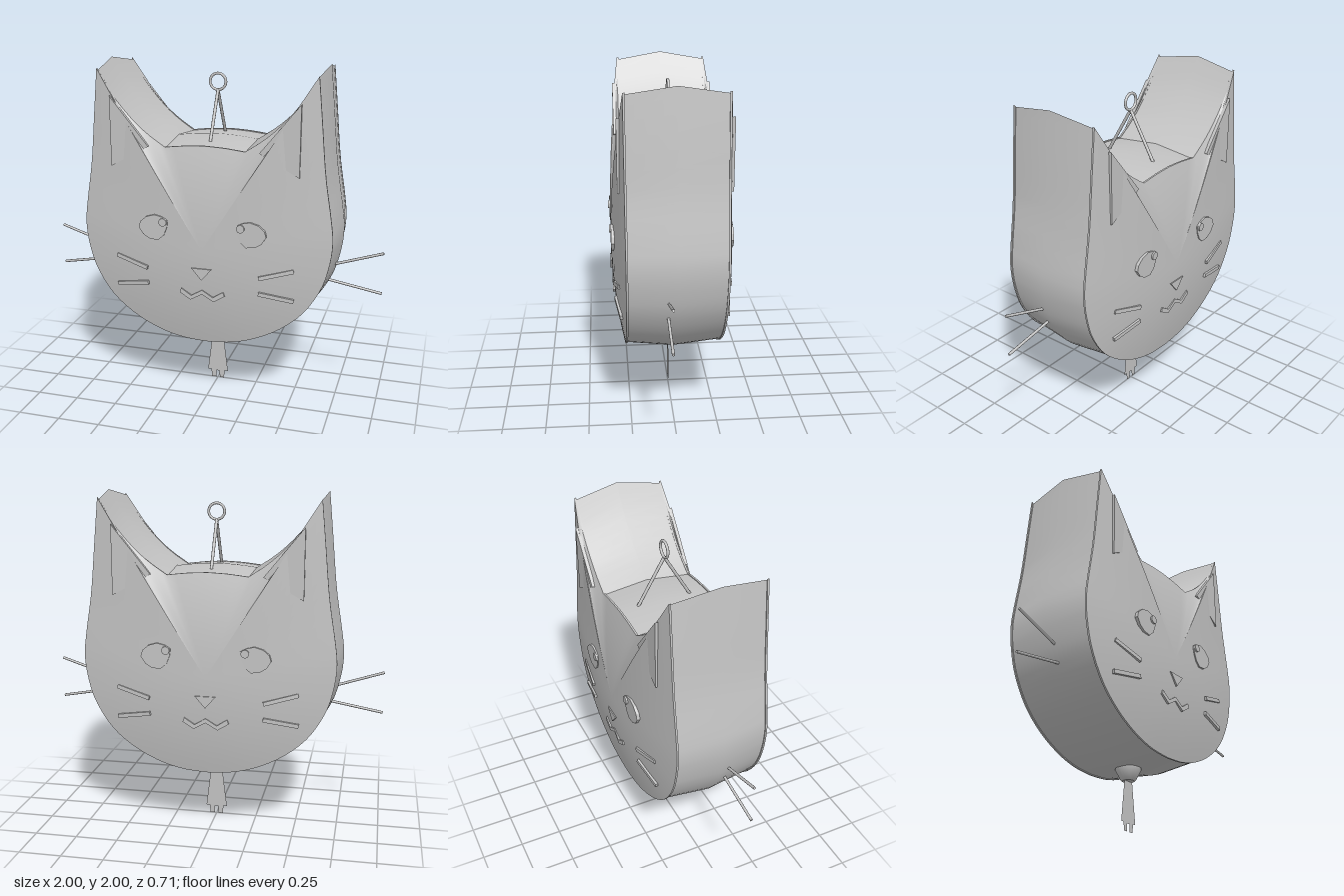
import * as THREE from 'three';
import { toCreasedNormals } from 'three/addons/utils/BufferGeometryUtils.js';

const grey = new THREE.MeshStandardMaterial({ color: 0xc4c4c4 });
grey.name = 'light grey';
const greySheet = new THREE.MeshStandardMaterial({ color: 0xc4c4c4, side: THREE.DoubleSide });
greySheet.name = 'light grey sheet';

const V2 = (p) => new THREE.Vector2(p[0], p[1]);
const CENTRE_Y = 0.97;

function add(parent, name, geometry, material = grey) {
  const mesh = new THREE.Mesh(geometry, material);
  mesh.name = name;
  parent.add(mesh);
  return mesh;
}

// Thin plate whose front sits at z
function plate(parent, name, points, z, depth = 0.02) {
  const shape = new THREE.Shape(points.map(V2));
  const mesh = add(parent, name, new THREE.ExtrudeGeometry(shape, { depth, bevelEnabled: false }));
  mesh.position.z = z - depth;
  return mesh;
}

// Round rod between two points
function rod(parent, name, a, b, r) {
  const path = new THREE.LineCurve3(new THREE.Vector3(...a), new THREE.Vector3(...b));
  const mesh = add(parent, name, new THREE.CylinderGeometry(r, r, path.getLength(), 10));
  mesh.position.copy(path.getPoint(0.5));
  mesh.quaternion.setFromUnitVectors(new THREE.Vector3(0, 1, 0), path.getTangent(0));
  return mesh;
}

// Head outline, counter-clockwise from the chin
function headOutline() {
  const cheek = new THREE.SplineCurve([[0, 0.355], [0.15, 0.367], [0.3, 0.408], [0.46, 0.49],
    [0.6, 0.61], [0.7, 0.77], [0.745, 0.92], [0.76, 1.06], [0.745, 1.2], [0.705, 1.45],
    [0.675, 1.75], [0.65, 2]].map(V2)).getPoints(36);
  const innerEar = new THREE.SplineCurve([[0.65, 2], [0.56, 1.855], [0.45, 1.725],
    [0.35, 1.635], [0.24, 1.56]].map(V2)).getPoints(10);
  const crown = new THREE.SplineCurve([[0.24, 1.56], [0.12, 1.574], [0, 1.58]].map(V2)).getPoints(4);
  const half = [...cheek, ...innerEar.slice(1), ...crown.slice(1)];
  const mirrored = half.slice(1, -1).reverse().map((p) => V2([-p.x, p.y]));
  return [...half, ...mirrored];
}

// Shell made of scaled outline rings, with a domed fan front and back
function headGeometry() {
  const outline = headOutline();
  const n = outline.length;
  const front = [];
  for (const t of [0.15, 0.3, 0.45, 0.6, 0.75, 0.88, 0.96]) {
    front.push([t * 0.965, 0.275 + 0.07 * (1 - t * t)]);
  }
  front.push([0.967, 0.275], [0.967, 0.264], [0.958, 0.264]);
  const rings = [...front, [1, 0], ...front.slice().reverse().map(([s, z]) => [s, -z])];
  const pos = [0, CENTRE_Y, 0.345];
  for (const [s, z] of rings) {
    for (const p of outline) pos.push(p.x * s, CENTRE_Y + (p.y - CENTRE_Y) * s, z);
  }
  pos.push(0, CENTRE_Y, -0.345);
  const last = pos.length / 3 - 1;
  const index = [];
  for (let i = 0; i < n; i++) {
    const j = (i + 1) % n;
    index.push(0, 1 + i, 1 + j);
    for (let r = 0; r < rings.length - 1; r++) {
      const a = 1 + r * n;
      const b = a + n;
      index.push(a + i, b + i, b + j, a + i, b + j, a + j);
    }
    const e = 1 + (rings.length - 1) * n;
    index.push(e + i, last, e + j);
  }
  const g = new THREE.BufferGeometry();
  g.setAttribute('position', new THREE.Float32BufferAttribute(pos, 3));
  g.setIndex(index);
  return toCreasedNormals(g, 0.4);
}

// Raised features of one face
function buildFace(name) {
  const face = new THREE.Group();
  face.name = name;
  plate(face, 'nose', [[-0.06, 0.86], [0, 0.79], [0.06, 0.86]], 0.349);
  const zigzag = [[-0.135, 0.7], [-0.07, 0.66], [0, 0.7], [0.07, 0.66], [0.135, 0.7]];
  const upper = zigzag.slice().reverse().map(([x, y]) => [x * 0.93, y + 0.026]);
  plate(face, 'mouth', [...zigzag, ...upper], 0.338);

  for (const s of [-1, 1]) {
    const eye = [[0.2, 1.13], [0.205, 1.09], [0.225, 1.04], [0.26, 1.01], [0.31, 1.015], [0.35, 1.04],
      [0.375, 1.08], [0.365, 1.115], [0.33, 1.145], [0.28, 1.16], [0.235, 1.15]];
    plate(face, 'eye', eye.map(([x, y]) => [s * x, y]), 0.345);
    const pupil = add(face, 'pupil', new THREE.CylinderGeometry(0.024, 0.024, 0.03, 10));
    pupil.rotation.x = Math.PI / 2;
    pupil.position.set(s * 0.228, 1.12, 0.34);
    plate(face, 'innerEar', [[0.545, 1.82], [0.545, 1.42], [0.32, 1.545]].map(([x, y]) => [s * x, y]), 0.309);

    // Short whisker strips lean back along the cheek
    for (const [y, tilt] of [[0.857, -0.27], [0.718, 0.17]]) {
      const whisker = add(face, 'cheekWhisker', new THREE.BoxGeometry(0.205, 0.023, 0.018));
      whisker.position.set(s * 0.43, y, y > 0.8 ? 0.318 : 0.312);
      whisker.rotation.set(0, s * 0.13, -s * tilt * -1, 'ZYX');
      if (y > 0.8) whisker.rotation.z = s * 0.27;
      else whisker.rotation.z = -s * 0.17;
    }
  }
  return face;
}

export function createModel() {
  const model = new THREE.Group();
  model.name = 'catLantern';
  add(model, 'head', headGeometry());

  // Same face on both sides
  const backFace = buildFace('backFace');
  backFace.rotation.y = Math.PI;
  model.add(buildFace('frontFace'), backFace);

  // Long side whiskers
  for (const s of [-1, 1]) {
    rod(model, 'sideWhisker', [s * 0.69, 0.85, 0.05], [s * 0.998, 0.95, 0.05], 0.008);
    rod(model, 'sideWhisker', [s * 0.66, 0.765, 0.05], [s * 0.998, 0.705, 0.05], 0.008);
  }

  // Hanger: ring on two splayed legs
  const ring = add(model, 'hangerRing', new THREE.TorusGeometry(0.047, 0.008, 10, 28));
  ring.position.y = 1.88;
  for (const s of [-1, 1]) {
    rod(model, 'hangerLeg', [0, 1.832, 0], [0, 1.56, s * 0.16], 0.009);
  }

  // Cap and flat tassel under the chin
  const cap = [[0, 0.29], [0.035, 0.29], [0.046, 0.3], [0.075, 0.355], [0.075, 0.375], [0, 0.375]];
  add(model, 'tasselCap', toCreasedNormals(new THREE.LatheGeometry(cap.map(V2), 20), 0.6));
  const tassel = [[-0.035, 0.3], [-0.065, 0.05], [-0.043, 0.05], [-0.04, 0], [-0.012, 0], [-0.01, 0.045],
    [0.01, 0.045], [0.012, 0], [0.04, 0], [0.043, 0.05], [0.065, 0.05], [0.035, 0.3]];
  add(model, 'tassel', new THREE.ShapeGeometry(new THREE.Shape(tassel.map(V2))), greySheet);
  return model;
}
